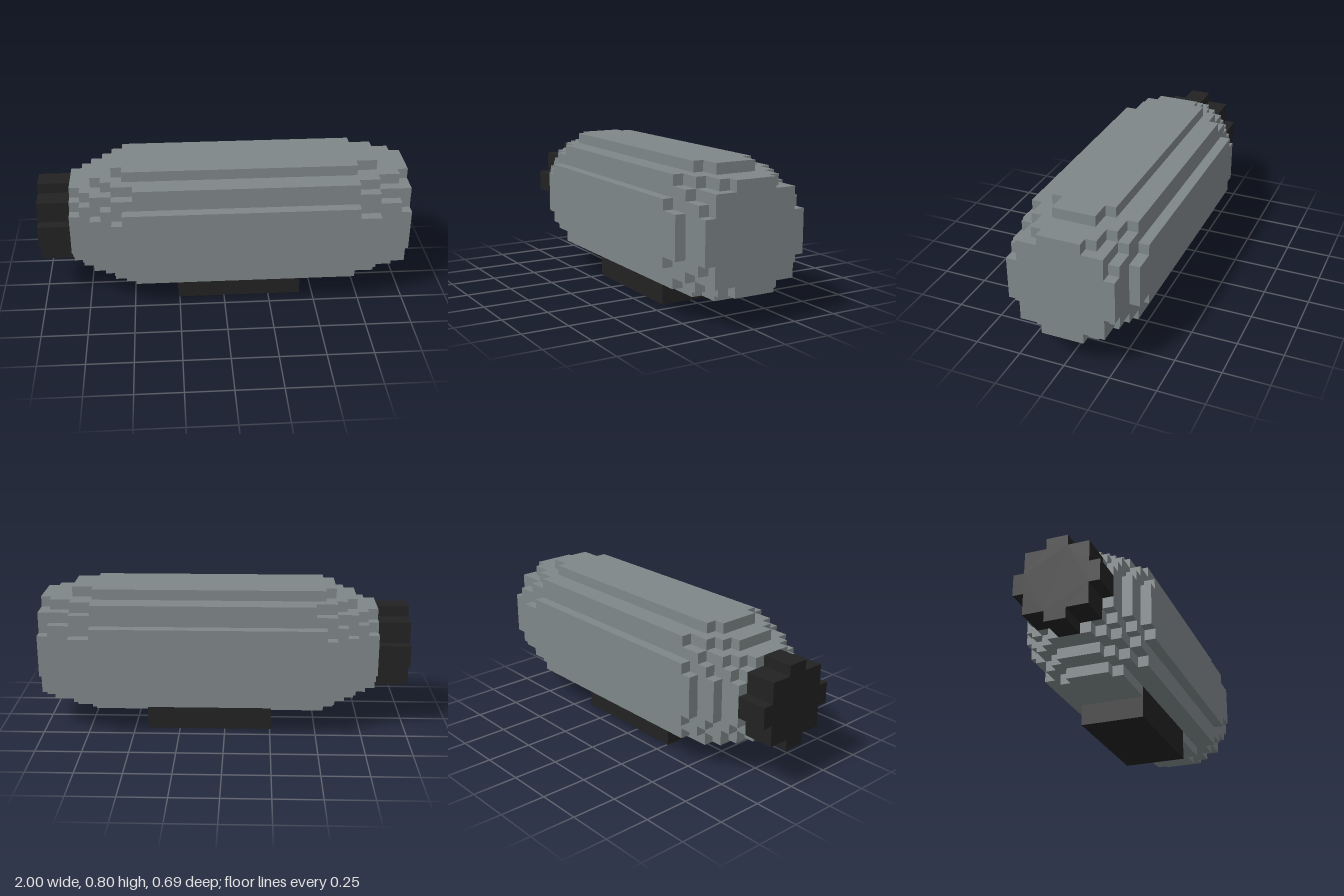
import * as THREE from 'three';

const U = 2 / 35; // one block
const AXIS_Y = 8; // height of the hull axis, in blocks

// Stepped round section: [halfWidth, halfHeight] steps of one quadrant, turned four times
function steppedShape(steps) {
  const quadrant = [];
  steps.forEach(([w, h], i) => {
    if (i > 0) quadrant.push([w, steps[i - 1][1]]);
    quadrant.push([w, h]);
  });
  const points = [];
  for (let k = 0; k < 4; k++) {
    for (const [x, y] of quadrant) {
      let p = [x, y];
      for (let r = 0; r < k; r++) p = [-p[1], p[0]];
      points.push(new THREE.Vector2(p[0] * U, p[1] * U));
    }
  }
  return new THREE.Shape(points);
}

// Section extruded along x from x0 to x1 (in blocks)
function slab(name, x0, x1, steps, material) {
  const geometry = new THREE.ExtrudeGeometry(steppedShape(steps), {
    depth: (x1 - x0) * U, bevelEnabled: false,
  });
  geometry.rotateY(Math.PI / 2);
  const mesh = new THREE.Mesh(geometry, material);
  mesh.position.set(x0 * U, AXIS_Y * U, 0);
  mesh.name = name;
  return mesh;
}

export function createModel() {
  const model = new THREE.Group();
  model.name = 'blockCylinder';
  const grey = new THREE.MeshStandardMaterial({ color: 0x7f8789 });
  grey.name = 'grey metal';
  const black = new THREE.MeshStandardMaterial({ color: 0x222222 });
  black.name = 'black';

  // Hull, tapering in block steps towards both ends
  const hull = new THREE.Group();
  hull.name = 'hull';
  const sections = [
    [-14.5, -13.5, [[4, 2], [3, 3], [2, 4]]],
    [-13.5, -12.5, [[4, 3], [3, 4]]],
    [-12.5, -11.5, [[5, 2], [4, 4], [2, 5]]],
    [-11.5, -10.5, [[5, 3], [4, 4], [3, 5]]],
    [-10.5, -9.5, [[6, 2], [5, 4], [4, 5], [2, 6]]],
    [-9.5, -8.5, [[6, 3], [5, 4], [4, 5], [3, 6]]],
    [-8.5, 12.5, [[6, 3], [5, 5], [3, 6]]],
    [12.5, 14.5, [[6, 2], [5, 4], [4, 5], [2, 6]]],
    [14.5, 16.5, [[5, 3], [4, 4], [3, 5]]],
    [16.5, 17.5, [[5, 2], [4, 4], [2, 5]]],
  ];
  sections.forEach(([x0, x1, steps], i) => hull.add(slab(`hullSection${i + 1}`, x0, x1, steps, grey)));
  model.add(hull);

  // Dark cap on the narrow end
  model.add(slab('endCap', -17.5, -14.5, [[4, 1], [3, 3], [1, 4]], black));

  // Foot under the hull, a hair wider than the keel it wraps
  const foot = new THREE.Mesh(new THREE.BoxGeometry(12 * U, 3 * U, 6 * U + 0.004), black);
  foot.position.set(1.5 * U, 1.5 * U, 0);
  foot.name = 'foot';
  model.add(foot);

  return model;
}
